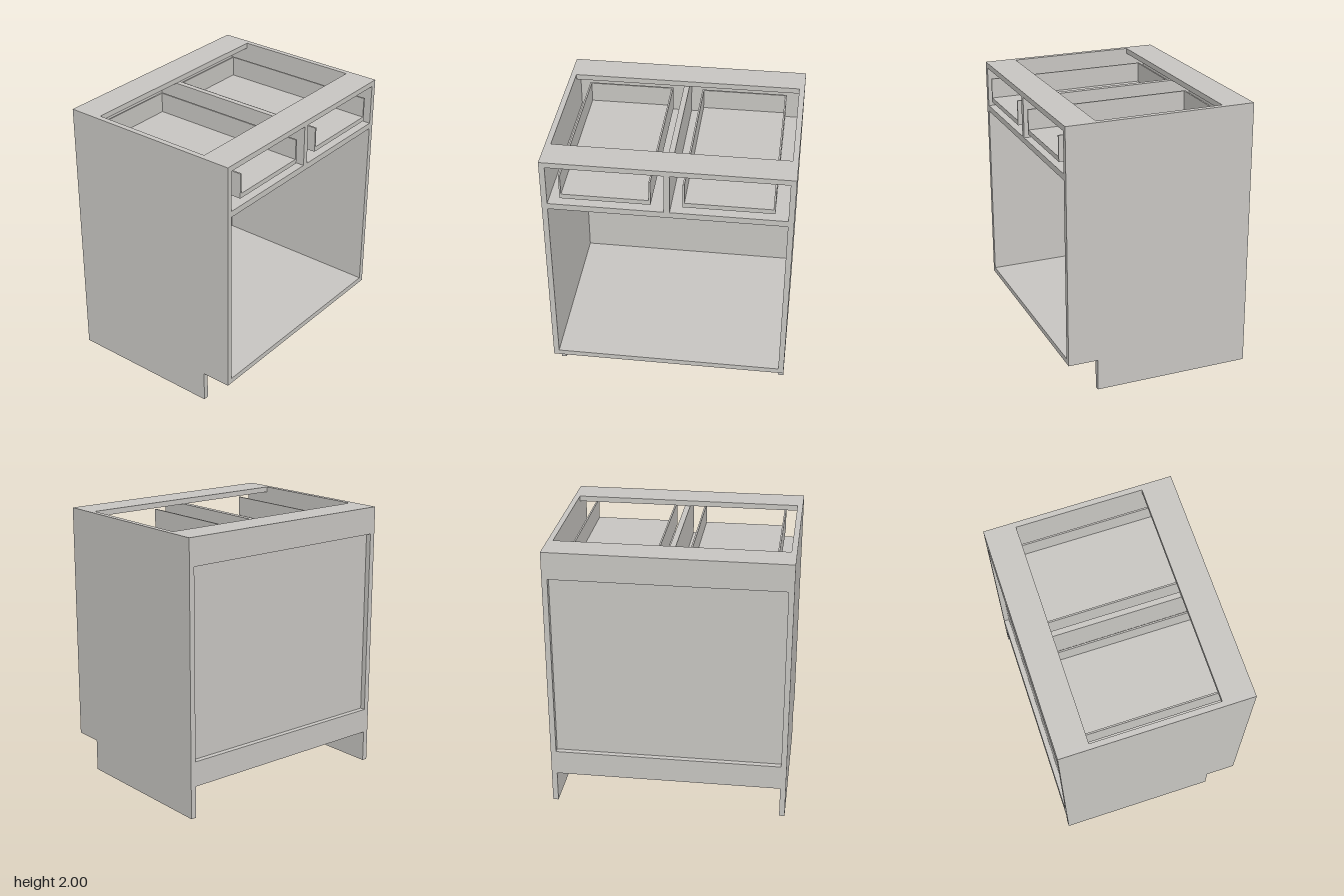
import * as THREE from 'three';

export function createModel() {
  const cabinet = new THREE.Group();
  cabinet.name = 'baseCabinet';
  const paint = new THREE.MeshStandardMaterial({ color: 0xc8c6c2 });
  paint.name = 'warm grey';

  const W = 0.87, D = 0.695, H = 2, T = 0.04; // half width, half depth, height, board
  const inner = W - T;

  // Board given by its lower and upper limits on each axis
  function board(name, [x0, x1], [y0, y1], [z0, z1], parent = cabinet) {
    const mesh = new THREE.Mesh(new THREE.BoxGeometry(x1 - x0, y1 - y0, z1 - z0), paint);
    mesh.position.set((x0 + x1) / 2, (y0 + y1) / 2, (z0 + z1) / 2);
    mesh.name = name;
    parent.add(mesh);
  }

  // Side panels with toe notch at the lower front
  const profile = new THREE.Shape([
    [-D, 0], [0.475, 0], [0.475, 0.235], [D, 0.235], [D, H], [-D, H],
  ].map(([z, y]) => new THREE.Vector2(-z, y)));
  const sideGeometry = new THREE.ExtrudeGeometry(profile, { depth: T, bevelEnabled: false });
  sideGeometry.rotateY(Math.PI / 2);
  for (const [name, x] of [['leftSide', inner], ['rightSide', -W]]) {
    const side = new THREE.Mesh(sideGeometry, paint);
    side.position.x = x;
    side.name = name;
    cabinet.add(side);
  }

  // Carcass boards between the sides
  const span = [-inner, inner];
  board('floorPanel', span, [0.235, 0.275], [-D, D]);
  board('drawerShelf', span, [1.615, 1.66], [-0.615, D]);
  board('drawerDivider', [-0.02, 0.02], [1.66, 1.96], [-0.615, D]);
  board('topFrontRail', span, [1.96, H], [0.465, D]);
  board('topBackRail', span, [1.96, H], [-D, -0.467]);

  // Recessed back panel with upper and lower stretchers
  board('backPanel', span, [0.275, 1.96], [-0.655, -0.615]);
  board('backUpperStretcher', span, [1.8, 1.96], [-D, -0.655]);
  board('backLowerStretcher', span, [0.275, 0.42], [-D, -0.655]);

  // Two open-fronted drawer boxes
  for (const [name, cx] of [['rightDrawer', -0.425], ['leftDrawer', 0.425]]) {
    const drawer = new THREE.Group();
    drawer.name = name;
    drawer.position.x = cx;
    const w = 0.315, t = 0.012, back = -0.535;
    board('drawerBottom', [-w + t, w - t], [1.715, 1.75], [back, D], drawer);
    board('drawerBack', [-w + t, w - t], [1.75, 1.9], [back, back + t], drawer);
    for (const x of [-w, w - t]) board('drawerSide', [x, x + t], [1.715, 1.9], [back, D], drawer);
    cabinet.add(drawer);
  }
  return cabinet;
}
